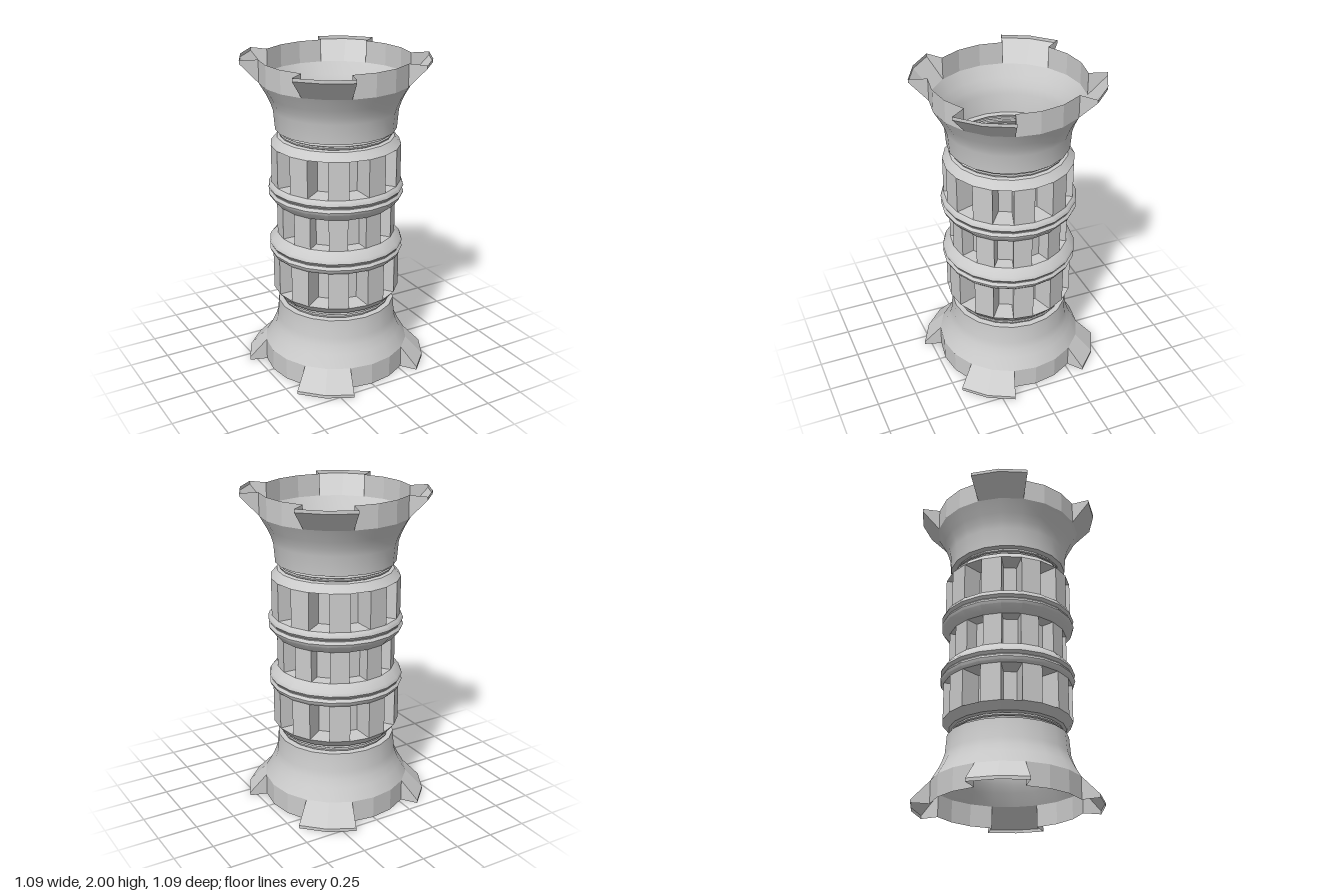
import * as THREE from 'three';
import { toCreasedNormals } from 'three/addons/utils/BufferGeometryUtils.js';

const SIDES = 20;
const STEP = (Math.PI * 2) / SIDES;
const smooth = new THREE.MeshStandardMaterial({ color: 0xcccccc, side: THREE.DoubleSide });
const flat = new THREE.MeshStandardMaterial({ color: 0xcccccc, side: THREE.DoubleSide, flatShading: true });

// Point on the facet corner i at radius r and height y
const at = (i, r, y) => [r * Math.sin(i * STEP), y, r * Math.cos(i * STEP)];

// Two triangles, corners counter-clockwise from the front
function quad(out, a, b, c, d) {
  out.push(...a, ...b, ...c, ...a, ...c, ...d);
}

function sheet(name, positions) {
  const g = new THREE.BufferGeometry();
  g.setAttribute('position', new THREE.Float32BufferAttribute(positions, 3));
  g.computeVertexNormals();
  const mesh = new THREE.Mesh(g, flat);
  mesh.name = name;
  return mesh;
}

// Turned part from [radius, height] pairs, bottom to top
function turned(name, profile, crease = 0.4) {
  const pts = profile.map(([r, y]) => new THREE.Vector2(r, y));
  const g = toCreasedNormals(new THREE.LatheGeometry(pts, SIDES), crease);
  const mesh = new THREE.Mesh(g, smooth);
  mesh.name = name;
  return mesh;
}

// Drum whose every other facet is a recessed pocket
function pocketDrum(name, y0, y1, outer, inner) {
  const p = [];
  for (let i = 0; i < SIDES; i++) {
    const j = i + 1;
    const pocket = i % 2 === 1;
    const r = pocket ? inner : outer;
    quad(p, at(i, r, y0), at(j, r, y0), at(j, r, y1), at(i, r, y1));
    if (!pocket) continue;
    // pocket sides, floor and ceiling
    quad(p, at(i, outer, y0), at(i, inner, y0), at(i, inner, y1), at(i, outer, y1));
    quad(p, at(j, inner, y0), at(j, outer, y0), at(j, outer, y1), at(j, inner, y1));
    quad(p, at(i, outer, y0), at(j, outer, y0), at(j, inner, y0), at(i, inner, y0));
    quad(p, at(i, inner, y1), at(j, inner, y1), at(j, outer, y1), at(i, outer, y1));
  }
  return sheet(name, p);
}

// Upright rim with four pairs of facets flaring out as prongs
function prongRim() {
  const p = [];
  const wall = 0.461, tip = 0.573, low = 1.86, lip = 1.98, top = 2;
  const isProng = (i) => [2, 3].includes(((i % 5) + 5) % 5);
  for (let i = 0; i < SIDES; i++) {
    const j = i + 1;
    if (!isProng(i)) {
      quad(p, at(i, wall, low), at(j, wall, low), at(j, wall, top), at(i, wall, top));
      continue;
    }
    quad(p, at(i, wall, low), at(j, wall, low), at(j, tip, lip), at(i, tip, lip));
    quad(p, at(i, tip, lip), at(j, tip, lip), at(j, tip, top), at(i, tip, top));
    // side cheeks at the ends of each prong
    if (!isProng(i - 1)) quad(p, at(i, wall, low), at(i, tip, lip), at(i, tip, top), at(i, wall, top));
    if (!isProng(j)) quad(p, at(j, wall, top), at(j, tip, top), at(j, tip, lip), at(j, wall, low));
  }
  return sheet('prongRim', p);
}

// Everything above the middle drum; mirrored for the lower half
function createHalf(name) {
  const half = new THREE.Group();
  half.name = name;
  half.add(
    turned('doubleFlange', [
      [0.37, 1.1], [0.378, 1.108], [0.413, 1.148], [0.42, 1.165], [0.407, 1.182],
      [0.407, 1.188], [0.42, 1.205], [0.413, 1.222], [0.4, 1.237],
    ]),
    pocketDrum('pocketDrum', 1.237, 1.473, 0.4, 0.26),
    turned('shoulder', [[0.4, 1.473], [0.36, 1.521], [0.333, 1.525]]),
    turned('neckBead', [
      [0.333, 1.525], [0.343, 1.53], [0.346, 1.54], [0.337, 1.545],
      [0.346, 1.55], [0.343, 1.56], [0.335, 1.567],
    ]),
    turned('flare', [
      [0.335, 1.567], [0.371, 1.57], [0.381, 1.69], [0.395, 1.735], [0.417, 1.783], [0.461, 1.86],
    ], 0.6),
    prongRim(),
  );
  return half;
}

export function createModel() {
  const model = new THREE.Group();
  model.name = 'column';
  const upper = createHalf('upperHalf');
  const lower = createHalf('lowerHalf');
  lower.scale.y = -1;
  lower.position.y = 2;
  model.add(upper, lower, pocketDrum('middleDrum', 0.9, 1.1, 0.37, 0.285));
  return model;
}
